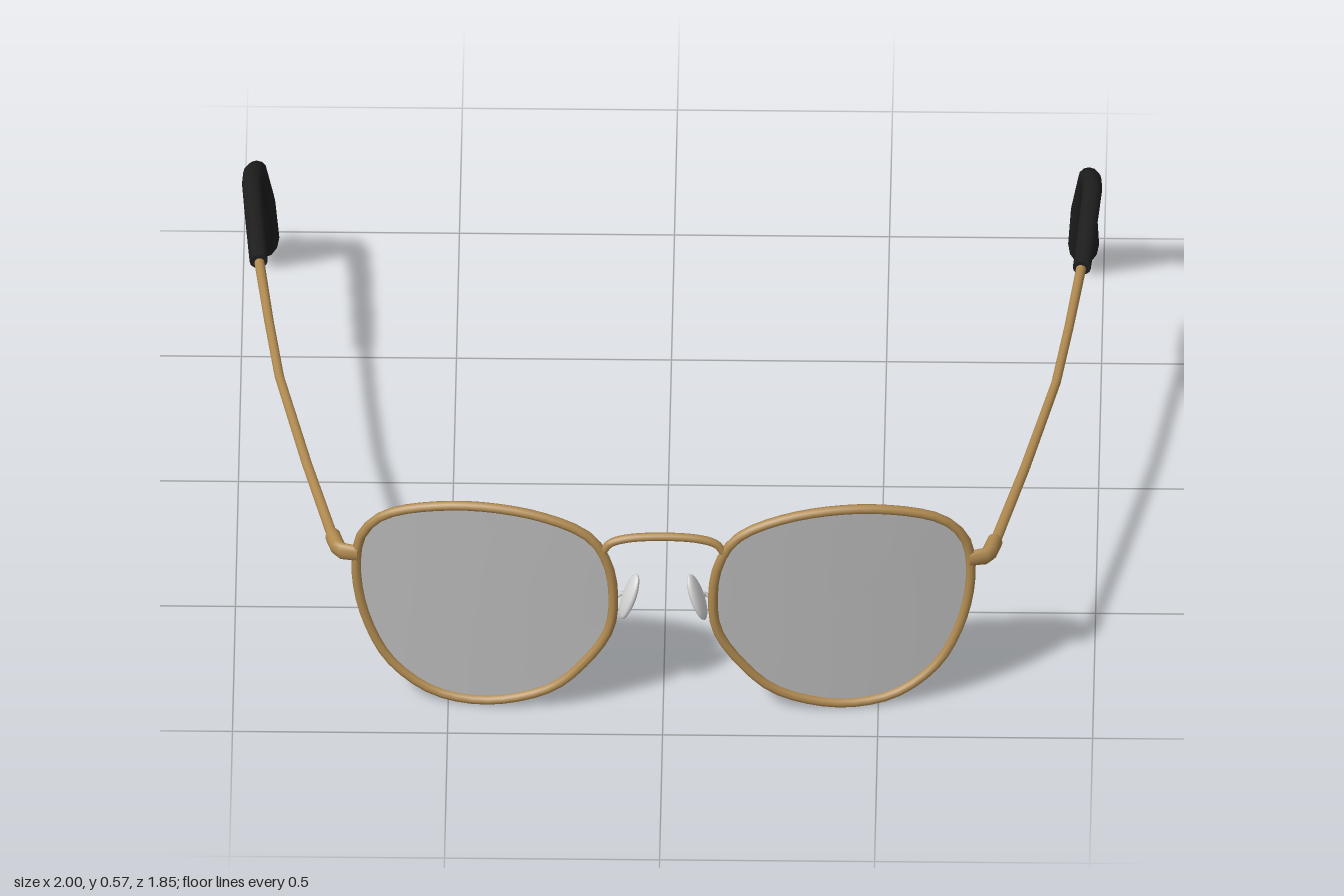
import * as THREE from 'three';

const gold = new THREE.MeshStandardMaterial({ color: 0xb08a50 });
gold.name = 'gold metal';
const black = new THREE.MeshStandardMaterial({ color: 0x1e1e1f });
black.name = 'black plastic';
const lensGrey = new THREE.MeshStandardMaterial({ color: 0xb9b9b9, side: THREE.DoubleSide });
lensGrey.name = 'lens grey';
const padWhite = new THREE.MeshStandardMaterial({ color: 0xd6d6d6 });
padWhite.name = 'pad silicone';

// Centre line of one rim, going round from the top
const RIM = [
  [0.455, 0.574], [0.28, 0.555], [0.171, 0.503], [0.13, 0.432], [0.116, 0.345], [0.126, 0.243],
  [0.183, 0.147], [0.256, 0.074], [0.367, 0.031], [0.457, 0.024], [0.545, 0.045], [0.636, 0.117],
  [0.69, 0.224], [0.714, 0.35], [0.705, 0.455], [0.668, 0.511], [0.615, 0.543],
];

// The front is wrapped backwards towards the temples
const wrapZ = (x) => 0.905 - 0.133 * x * x;

function mesh(name, geometry, material) {
  const m = new THREE.Mesh(geometry, material);
  m.name = name;
  return m;
}

// Capped elliptical loft; sections are [x, y, z, radius across ref, radius along ref]
function loft(sections, ref, sides = 12) {
  const pts = sections.map((s) => new THREE.Vector3(s[0], s[1], s[2]));
  const last = pts.length - 1;
  const rings = [[0, 0], [0, 1], ...sections.map((_, i) => [i, 1]), [last, 1], [last, 0]];
  const pos = [], index = [];
  for (const [i, scale] of rings) {
    const t = new THREE.Vector3();
    if (i > 0) t.add(pts[i].clone().sub(pts[i - 1]).normalize());
    if (i < last) t.add(pts[i + 1].clone().sub(pts[i]).normalize());
    t.normalize();
    const a = ref.clone().cross(t).normalize();
    const b = t.clone().cross(a);
    for (let j = 0; j < sides; j++) {
      const ang = (j / sides) * Math.PI * 2;
      const v = pts[i].clone()
        .addScaledVector(a, Math.cos(ang) * sections[i][3] * scale)
        .addScaledVector(b, Math.sin(ang) * sections[i][4] * scale);
      pos.push(v.x, v.y, v.z);
    }
  }
  for (let r = 0; r < rings.length - 1; r++) {
    for (let j = 0; j < sides; j++) {
      const k = (j + 1) % sides;
      const p = r * sides + j, q = r * sides + k;
      index.push(p, q, p + sides, q, q + sides, p + sides);
    }
  }
  const g = new THREE.BufferGeometry();
  g.setAttribute('position', new THREE.Float32BufferAttribute(pos, 3));
  g.setIndex(index);
  g.computeVertexNormals();
  return g;
}

// Lens: concentric rings inside the outline, following the wrap
function lensGeometry(s) {
  const cx = 0.42, cy = 0.31, steps = 5, n = RIM.length;
  const pos = [], index = [];
  for (let r = 0; r <= steps; r++) {
    for (const [x, y] of RIM) {
      const px = cx + (x - cx) * (r / steps);
      pos.push(s * px, cy + (y - cy) * (r / steps), wrapZ(px));
    }
  }
  for (let r = 0; r < steps; r++) {
    for (let j = 0; j < n; j++) {
      const a = r * n + j, b = r * n + ((j + 1) % n);
      if (s > 0) index.push(a, a + n, b, b, a + n, b + n);
      else index.push(a, b, a + n, b, b + n, a + n);
    }
  }
  const g = new THREE.BufferGeometry();
  g.setAttribute('position', new THREE.Float32BufferAttribute(pos, 3));
  g.setIndex(index);
  g.computeVertexNormals();
  return g;
}

function createSide(s) {
  const side = new THREE.Group();
  side.name = s > 0 ? 'leftSide' : 'rightSide';
  const X = new THREE.Vector3(1, 0, 0), Y = new THREE.Vector3(0, 1, 0);
  const flip = (list) => list.map(([x, ...rest]) => [s * x, ...rest]);

  // Rim and lens
  const rimCurve = new THREE.CatmullRomCurve3(
    RIM.map(([x, y]) => new THREE.Vector3(s * x, y, wrapZ(x))), true);
  side.add(mesh('rim', new THREE.TubeGeometry(rimCurve, 51, 0.0115, 8, true), gold));
  side.add(mesh('lens', lensGeometry(s), lensGrey));

  // End piece wrapping round to the hinge
  side.add(mesh('endPiece', loft(flip([
    [0.71, 0.41, 0.842, 0.011, 0.02], [0.747, 0.41, 0.832, 0.014, 0.022],
    [0.758, 0.41, 0.815, 0.018, 0.022], [0.77, 0.41, 0.772, 0.018, 0.022],
  ]), Y), gold));

  // Temple wire
  side.add(mesh('temple', loft(flip([
    [0.768, 0.41, 0.785, 0.012, 0.013], [0.835, 0.41, 0.48, 0.011, 0.012],
    [0.903, 0.413, 0.14, 0.011, 0.011], [0.93, 0.421, -0.07, 0.011, 0.011],
    [0.958, 0.436, -0.31, 0.012, 0.012],
  ]), X), gold));

  // Ear tip: bends down behind the ear and widens
  side.add(mesh('earTip', loft(flip([
    [0.957, 0.437, -0.285, 0.019, 0.021], [0.968, 0.443, -0.44, 0.018, 0.022],
    [0.977, 0.445, -0.585, 0.019, 0.023], [0.974, 0.43, -0.65, 0.021, 0.024],
    [0.968, 0.398, -0.703, 0.024, 0.025], [0.955, 0.25, -0.785, 0.038, 0.03],
    [0.953, 0.083, -0.877, 0.052, 0.036],
  ]), X), black));

  // Nose pad on its little arm
  const pad = mesh('nosePad', new THREE.SphereGeometry(1, 16, 12), padWhite);
  pad.scale.set(0.013, 0.062, 0.03);
  pad.position.set(s * 0.079, 0.333, 0.897);
  pad.rotation.set(0, s * -0.25, s * 0.33);
  side.add(pad);
  const arm = new THREE.CatmullRomCurve3([
    [0.118, 0.31, 0.9], [0.112, 0.316, 0.878], [0.098, 0.325, 0.874], [0.084, 0.333, 0.89],
  ].map(([x, y, z]) => new THREE.Vector3(s * x, y, z)));
  side.add(mesh('padArm', new THREE.TubeGeometry(arm, 10, 0.006, 6), padWhite));
  return side;
}

export function createModel() {
  const model = new THREE.Group();
  model.name = 'eyeglasses';
  model.add(createSide(1), createSide(-1));

  // Arched bridge between the rims
  const bridge = new THREE.CatmullRomCurve3([
    [-0.14, 0.465], [-0.124, 0.488], [-0.085, 0.503], [0, 0.51],
    [0.085, 0.503], [0.124, 0.488], [0.14, 0.465],
  ].map(([x, y]) => new THREE.Vector3(x, y, wrapZ(x))));
  model.add(mesh('bridge', new THREE.TubeGeometry(bridge, 28, 0.01, 8), gold));
  return model;
}
